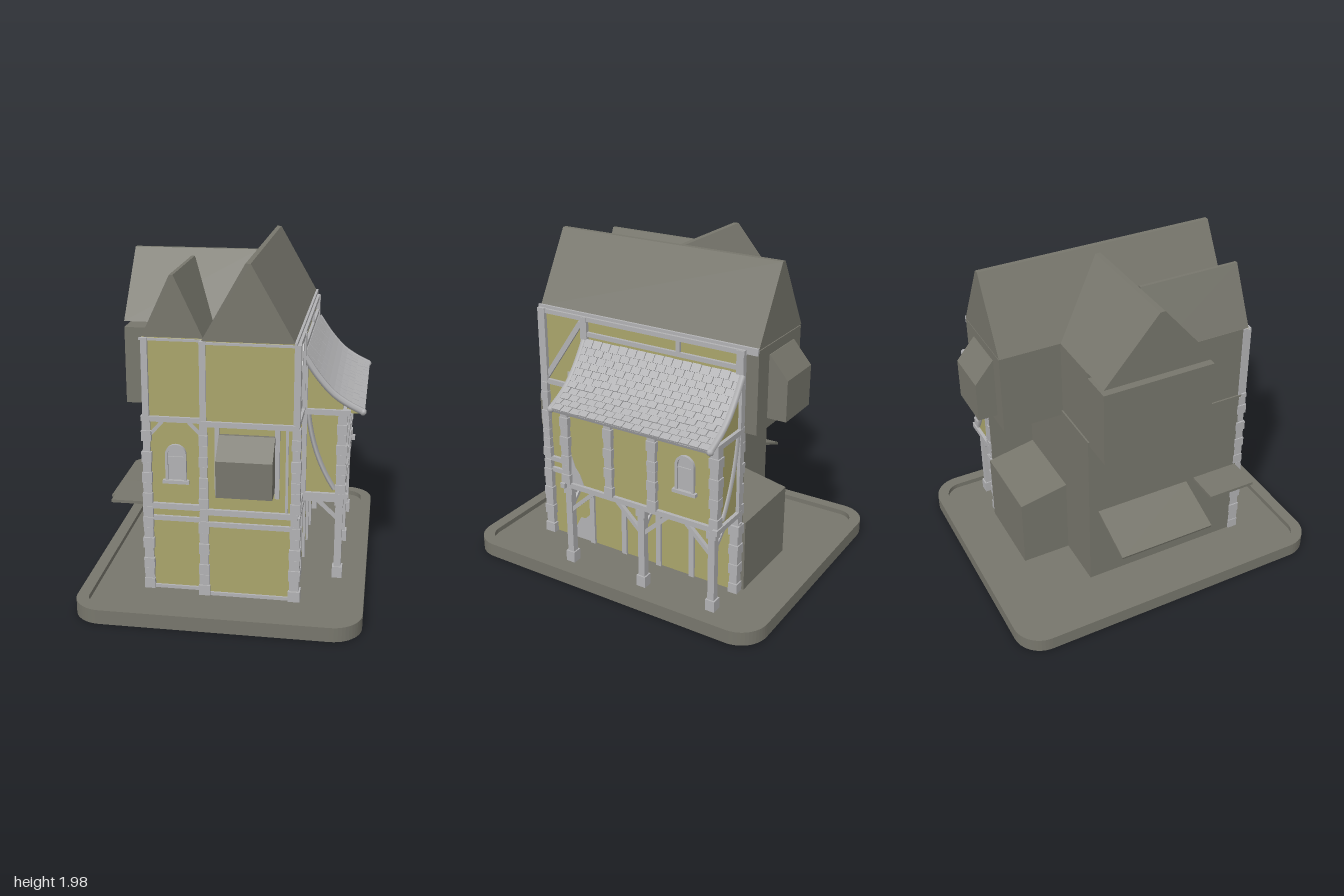
import * as THREE from 'three';

const grey = new THREE.MeshStandardMaterial({ color: 0x77766c });
grey.name = 'slateGrey';
const plaster = new THREE.MeshStandardMaterial({ color: 0xaaa56b });
plaster.name = 'ochrePlaster';
const pale = new THREE.MeshStandardMaterial({ color: 0xb2b2b4 });
pale.name = 'paleTimber';

export function createModel() {
  const model = new THREE.Group();
  model.name = 'timberHouse';
  let seed = 7;
  const rnd = () => (seed = (seed * 16807) % 2147483647) / 2147483647;

  const add = (name, geo, mat, parent = model) => {
    const m = new THREE.Mesh(geo, mat);
    m.name = name;
    parent.add(m);
    return m;
  };
  const group = (name) => {
    const g = new THREE.Group();
    g.name = name;
    model.add(g);
    return g;
  };
  // box given by its limits on each axis
  const block = (name, x0, x1, y0, y1, z0, z1, mat, parent) => {
    const m = add(name, new THREE.BoxGeometry(x1 - x0, y1 - y0, z1 - z0), mat, parent);
    m.position.set((x0 + x1) / 2, (y0 + y1) / 2, (z0 + z1) / 2);
    return m;
  };
  const shapeOf = (pts) => new THREE.Shape(pts.map((p) => new THREE.Vector2(p[0], p[1])));
  // [x, y] outline swept along z
  const sweepZ = (name, pts, z0, z1, mat, parent) => {
    const geo = new THREE.ExtrudeGeometry(shapeOf(pts), { depth: z1 - z0, bevelEnabled: false });
    return add(name, geo.translate(0, 0, z0), mat, parent);
  };
  // [z, y] outline swept along x
  const sweepX = (name, pts, x0, x1, mat, parent) => {
    const geo = new THREE.ExtrudeGeometry(shapeOf(pts.map(([z, y]) => [-z, y])), { depth: x1 - x0, bevelEnabled: false });
    return add(name, geo.rotateY(Math.PI / 2).translate(x0, 0, 0), mat, parent);
  };
  // straight beam between two points
  const beam = (name, a, b, w, parent, d = w) => {
    const p = new THREE.Vector3(...a), q = new THREE.Vector3(...b);
    const dir = q.clone().sub(p);
    const m = add(name, new THREE.BoxGeometry(w, dir.length(), d), pale, parent);
    m.position.copy(p).add(q).multiplyScalar(0.5);
    m.quaternion.setFromUnitVectors(new THREE.Vector3(0, 1, 0), dir.normalize());
    return m;
  };
  // post made of uneven stacked stones
  const quoin = (name, x, z, y0, y1, w, parent) => {
    const n = Math.round((y1 - y0) / 0.065), h = (y1 - y0) / n;
    for (let i = 0; i < n; i++) {
      const s = w * (i % 2 ? 0.85 : 1.02) + rnd() * 0.01;
      block(name, x - s / 2, x + s / 2, y0 + i * h, y0 + (i + 0.96) * h, z - s / 2, z + s / 2, pale, parent);
    }
  };

  // base slab with raised rim
  const roundRect = (Type, w, h, r) => {
    const s = new Type();
    s.absarc(w - r, h - r, r, 0, Math.PI / 2);
    s.absarc(-w + r, h - r, r, Math.PI / 2, Math.PI);
    s.absarc(-w + r, -h + r, r, Math.PI, Math.PI * 1.5);
    s.absarc(w - r, -h + r, r, Math.PI * 1.5, Math.PI * 2);
    s.closePath();
    return s;
  };
  const slab = (name, shape, y0, y1) => {
    const geo = new THREE.ExtrudeGeometry(shape, { depth: y1 - y0, bevelEnabled: false, curveSegments: 6 });
    add(name, geo.rotateX(-Math.PI / 2).translate(0, y0, 0), grey);
  };
  slab('baseSlab', roundRect(THREE.Shape, 0.81, 1, 0.17), 0, 0.055);
  const rim = roundRect(THREE.Shape, 0.81, 1, 0.17);
  rim.holes.push(roundRect(THREE.Path, 0.74, 0.93, 0.1));
  slab('baseRim', rim, 0.055, 0.085);

  // house body
  block('lowerBody', -0.45, 0.4, 0.05, 1.1, -0.41, 0.61, grey);
  block('frontBody', -0.1, 0.4, 0.05, 1.555, 0.6, 0.66, grey);
  block('upperBody', -0.1, 0.4, 1.07, 1.555, -0.77, 0.61, grey);
  block('upperWing', -0.44, -0.1, 1.07, 1.555, -0.4, 0.61, grey);
  block('sideOverhang', -0.63, -0.43, 1.07, 1.525, -0.4, 0.28, grey);
  sweepX('backShed', [[-0.41, 0.05], [-0.41, 0.56], [-0.46, 0.55], [-0.71, 0.5], [-0.71, 0.05]], -0.13, 0.38, grey);

  // plastered walls
  block('frontPlaster', -0.1, 0.41, 0.05, 1.555, 0.66, 0.67, plaster);
  block('wingPlaster', -0.445, -0.1, 0.05, 1.555, 0.61, 0.62, plaster);
  block('sidePlaster', 0.4, 0.41, 0.05, 1.555, -0.69, 0.67, plaster);
  block('rearSideWall', 0.38, 0.4, 0.05, 1.08, -0.69, -0.41, grey);

  // gabled roofs
  const gable = (a, b, ridge, flat, top) => [[a, 1.56], [b, 1.56], [ridge + flat, top], [ridge - flat, top]];
  sweepZ('mainRoof', gable(-0.105, 0.402, 0.147, 0.014, 1.98), -0.77, 0.68, grey);
  sweepZ('frontWingRoof', gable(-0.445, -0.105, -0.275, 0.01, 1.9), 0, 0.62, grey);
  sweepX('crossRoof', gable(-0.4, 0.28, -0.057, 0.015, 1.94), -0.63, 0.11, grey);

  // projecting bays
  sweepX('frontBay', [[0.66, 0.72], [0.81, 0.72], [0.81, 0.93], [0.69, 1.04], [0.66, 1.04]], -0.01, 0.3, grey);
  sweepX('rearBay', [[-0.76, 1.13], [-0.76, 1.5], [-0.775, 1.5], [-0.885, 1.37], [-0.885, 1.13]], -0.01, 0.28, grey);

  // awnings on the left-hand wall
  sweepZ('slopedAwning', [[-0.44, 0.56], [-0.44, 0.575], [-0.755, 0.455], [-0.75, 0.44]], -0.35, 0.25, grey);
  block('flatAwning', -0.655, -0.44, 0.563, 0.58, 0.3, 0.6, grey);

  // lean-to room above the arcade
  const curve = new THREE.CatmullRomCurve3(
    [[0.425, 1.41], [0.5, 1.3], [0.59, 1.2], [0.67, 1.145], [0.76, 1.1]].map((p) => new THREE.Vector3(p[0], p[1], 0)));
  sweepZ('leanToRoom', [[0.405, 0.57], [0.645, 0.57], [0.645, 1.13], [0.58, 1.18], [0.49, 1.28], [0.405, 1.4]], -0.68, 0.345, plaster);

  // curved tiled roof with staggered courses
  const leanTo = group('leanToRoof');
  const line = curve.getPoints(12);
  sweepZ('roofBoard', [...line.map((p) => [p.x, p.y]), ...line.slice().reverse().map((p) => [p.x - 0.008, p.y - 0.018])], -0.69, 0.35, pale, leanTo);
  const rows = 11, cols = 17, z0 = -0.68, z1 = 0.34;
  for (let r = 0; r < rows; r++) {
    const p = curve.getPointAt((r + 0.5) / rows), t = curve.getTangentAt((r + 0.5) / rows);
    const pitch = (z1 - z0) / cols;
    for (let c = 0; c < cols + (r % 2); c++) {
      const a = Math.max(z0, z0 + (c - (r % 2) / 2) * pitch);
      const b = Math.min(z1, z0 + (c + 1 - (r % 2) / 2) * pitch - 0.004);
      const tile = add('roofTile', new THREE.BoxGeometry(0.05, 0.011, b - a), pale, leanTo);
      tile.position.set(p.x + 0.003, p.y + 0.006 + rnd() * 0.004, (a + b) / 2);
      tile.rotation.z = Math.atan2(t.y, t.x) + 0.1;
    }
  }
  for (const z of [-0.69, 0.352]) {
    const verge = add('vergeRoll', new THREE.TubeGeometry(curve, 12, 0.02, 6), pale, leanTo);
    verge.position.z = z;
    const cap = add('vergeEnd', new THREE.SphereGeometry(0.021, 8, 6), pale, leanTo);
    cap.position.set(0.758, 1.1, z);
  }
  for (let i = 0; i < 13; i++) {
    block('rafterTail', 0.64, 0.74, 1.085, 1.1, -0.66 + i * 0.08, -0.62 + i * 0.08, plaster, leanTo);
  }

  // front timber frame
  const front = group('frontTimbers');
  for (const [x, z] of [[-0.43, 0.615], [-0.1, 0.655], [0.415, 0.66]]) {
    quoin('cornerStone', x, z, 0.055, 0.57, 0.058, front);
    quoin('cornerStone', x, z, 0.59, 1.09, 0.048, front);
    beam('upperPost', [x, 1.1, z], [x, 1.555, z], 0.036, front, 0.05);
  }
  for (const [y, w] of [[0.575, 0.034], [0.5, 0.028], [1.095, 0.03], [1.547, 0.014], [0.065, 0.02]]) {
    beam('wingRail', [-0.46, y, 0.622], [-0.1, y, 0.622], w, front);
    beam('frontRail', [-0.12, y, 0.672], [0.43, y, 0.672], w, front);
  }
  for (const x of [-0.022, 0.312]) beam('bayPost', [x, 0.68, 0.675], [x, 1.085, 0.675], 0.026, front);
  beam('thinPost', [0.365, 0.59, 0.67], [0.365, 1.085, 0.67], 0.015, front);
  beam('cornerBrace', [-0.41, 1.0, 0.62], [-0.34, 1.08, 0.62], 0.02, front);
  beam('cornerBrace', [-0.12, 1.01, 0.62], [-0.19, 1.08, 0.62], 0.02, front);

  // right-hand wall timber frame
  const side = group('sideTimbers');
  for (const [y, w] of [[0.575, 0.03], [0.5, 0.03], [1.095, 0.03], [1.54, 0.026]]) {
    beam('sideRail', [0.415, y, -0.7], [0.415, y, 0.685], w, side);
  }
  beam('eaveRail', [0.415, 1.45, -0.69], [0.415, 1.45, 0.35], 0.026, side);
  beam('eaveStrip', [0.405, 1.55, -0.77], [0.405, 1.55, 0.69], 0.014, side, 0.04);
  for (const z of [0.352, -0.675]) beam('upperSidePost', [0.415, 1.1, z], [0.415, 1.55, z], 0.036, side, 0.044);
  beam('shortPost', [0.415, 1.45, -0.285], [0.415, 1.54, -0.285], 0.026, side);
  beam('diagonalBrace', [0.41, 1.12, 0.65], [0.41, 1.51, 0.38], 0.026, side, 0.032);
  for (const z of [0.34, 0.1, -0.15, -0.38]) beam('groundPost', [0.413, 0.055, z], [0.413, 0.57, z], 0.026, side, 0.034);
  quoin('rearStone', 0.415, -0.67, 0.055, 1.08, 0.055, side);

  // lean-to frame, arcade columns and braces
  const arcade = group('arcade');
  for (const y of [0.58, 1.09]) {
    beam('longRail', [0.65, y, -0.7], [0.65, y, 0.37], 0.032, arcade);
    for (const z of [0.35, -0.685]) beam('crossRail', [0.41, y, z], [0.69, y, z], 0.032, arcade);
  }
  for (const z of [0.335, 0.03, -0.265, -0.665]) quoin('roomPost', 0.645, z, 0.59, 1.08, 0.052, arcade);
  for (const z of [0.33, -0.185, -0.65]) {
    beam('column', [0.64, 0.055, z], [0.64, 0.57, z], 0.042, arcade);
    block('columnFoot', 0.61, 0.67, 0.055, 0.125, z - 0.03, z + 0.03, pale, arcade);
    block('columnHead', 0.613, 0.667, 0.52, 0.565, z - 0.03, z + 0.03, pale, arcade);
    beam('crossTie', [0.42, 0.55, z], [0.64, 0.55, z], 0.03, arcade);
    beam('inwardBrace', [0.64, 0.42, z], [0.5, 0.55, z], 0.02, arcade);
    for (const s of [1, -1]) {
      if (Math.abs(z + s * 0.17 + 0.165) > 0.52) continue;
      beam('columnBrace', [0.64, 0.4, z], [0.64, 0.56, z + s * 0.17], 0.024, arcade);
    }
  }
  for (const z of [0.35, -0.685]) {
    const bow = new THREE.QuadraticBezierCurve3(
      new THREE.Vector3(0.45, 1.08, z), new THREE.Vector3(0.48, 0.82, z), new THREE.Vector3(0.61, 0.62, z));
    add('bowedBrace', new THREE.TubeGeometry(bow, 8, 0.015, 4), pale, arcade);
    beam('innerPost', [0.43, 0.59, z], [0.43, 1.36, z], 0.028, arcade);
  }

  // arched windows
  const arch = (Type, w, h) => {
    const s = new Type();
    s.moveTo(-w, 0);
    s.lineTo(w, 0);
    s.lineTo(w, h - w);
    s.absarc(0, h - w, w, 0, Math.PI);
    s.closePath();
    return s;
  };
  const archedWindow = (x, y, z, turn) => {
    const g = group('archedWindow');
    const frame = arch(THREE.Shape, 0.06, 0.22);
    frame.holes.push(arch(THREE.Path, 0.045, 0.205));
    add('windowFrame', new THREE.ExtrudeGeometry(frame, { depth: 0.02, bevelEnabled: false }), pale, g);
    add('windowPane', new THREE.ExtrudeGeometry(arch(THREE.Shape, 0.046, 0.206), { depth: 0.007, bevelEnabled: false }), pale, g);
    block('windowSill', -0.075, 0.075, -0.012, 0.008, 0, 0.028, pale, g);
    block('windowTransom', -0.05, 0.05, 0.135, 0.147, 0, 0.015, pale, g);
    g.position.set(x, y, z);
    g.rotation.y = turn;
  };
  archedWindow(-0.265, 0.73, 0.619, 0);
  archedWindow(0.644, 0.76, -0.475, Math.PI / 2);

  // exposed stones and bare patches
  for (const [z, y, w, h] of [[0.54, 0.945, 0.08, 0.03], [0.45, 1.16, 0.08, 0.045], [0.46, 0.67, 0.045, 0.03], [-0.32, 0.455, 0.08, 0.03], [-0.335, 0.418, 0.045, 0.025]]) {
    block('exposedStone', 0.405, 0.42, y - h / 2, y + h / 2, z - w / 2, z + w / 2, pale);
  }
  sweepX('barePatch', [[0.53, 0.055], [0.36, 0.055], [0.36, 0.25], [0.4, 0.21], [0.44, 0.2], [0.48, 0.12]], 0.409, 0.414, pale);
  sweepX('barePatch', [[0.32, 0.59], [0.22, 0.59], [0.25, 0.66], [0.28, 0.7], [0.31, 0.78]], 0.644, 0.649, pale);
  return model;
}
